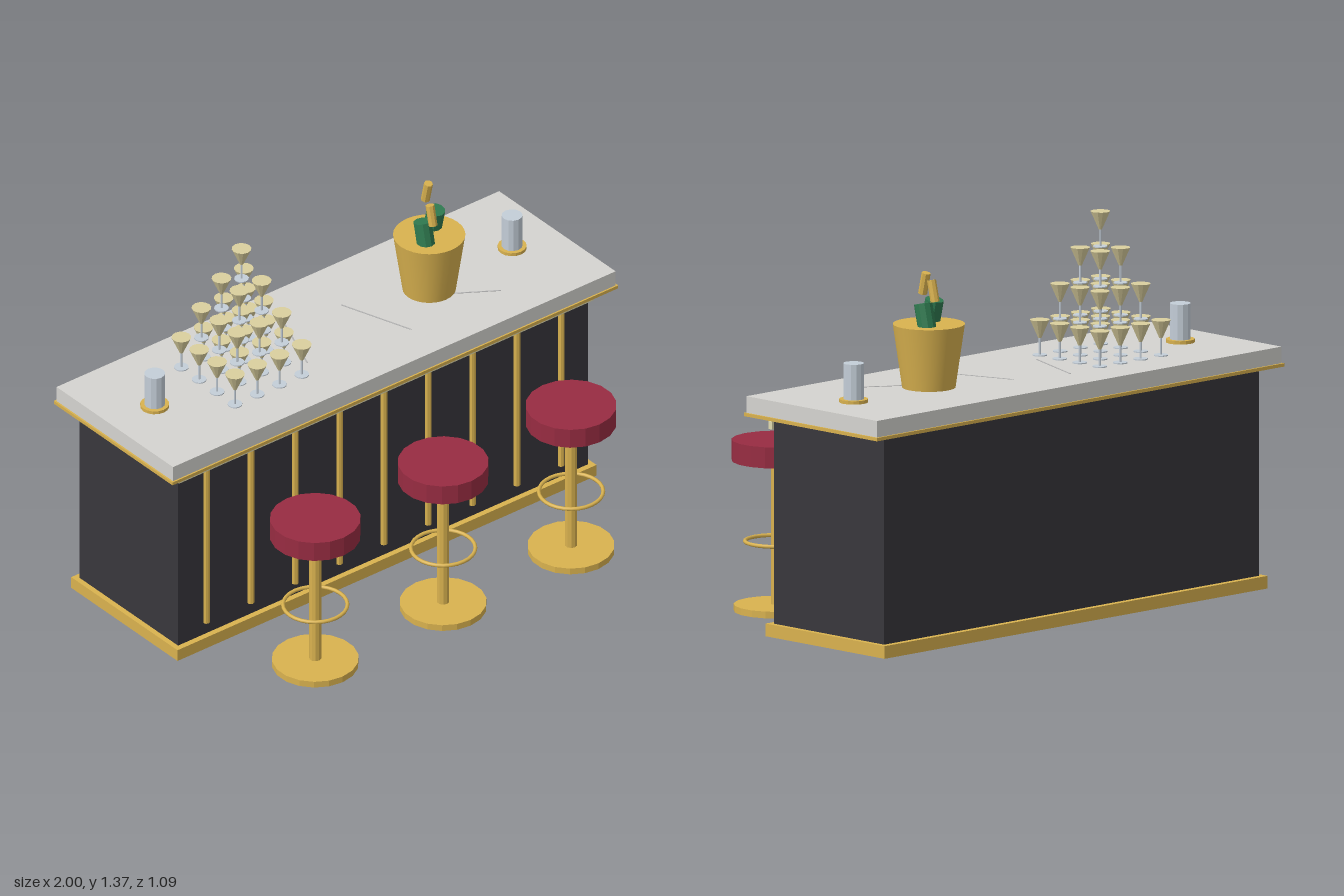
import * as THREE from 'three';

const mat = (color, flatShading = true) => new THREE.MeshStandardMaterial({ color, flatShading });
const brass = mat(0xd9b24f), brassSmooth = mat(0xd9b24f, false);
const panel = mat(0x38373c), marble = mat(0xd5d4d0), vein = mat(0xb4b4b4);
const glow = mat(0xe2dbb0), leather = mat(0x982c42), bottleGreen = mat(0x2f7a50);
const clear = mat(0xc4ced8), wine = mat(0xdacf9e);

function add(parent, name, geometry, material, x = 0, y = 0, z = 0) {
  const m = new THREE.Mesh(geometry, material);
  m.name = name;
  m.position.set(x, y, z);
  parent.add(m);
  return m;
}

// Box given by its limits on each axis
function box(parent, name, material, [x0, x1], [y0, y1], [z0, z1]) {
  return add(parent, name, new THREE.BoxGeometry(x1 - x0, y1 - y0, z1 - z0), material,
    (x0 + x1) / 2, (y0 + y1) / 2, (z0 + z1) / 2);
}

// Upright cylinder or cone standing on y0
function post(parent, name, material, rTop, rBottom, y0, y1, sides, x = 0, z = 0) {
  return add(parent, name, new THREE.CylinderGeometry(rTop, rBottom, y1 - y0, sides), material,
    x, (y0 + y1) / 2, z);
}

function group(parent, name, x = 0, y = 0, z = 0) {
  const g = new THREE.Group();
  g.name = name;
  g.position.set(x, y, z);
  parent.add(g);
  return g;
}

const TOP = 0.857; // height of the counter surface

function buildCounter(root) {
  const g = group(root, 'counter');
  box(g, 'plinth', brass, [-0.94, 0.94], [0, 0.045], [-0.522, 0.073]);
  box(g, 'body', panel, [-0.92, 0.92], [0.045, 0.787], [-0.5, 0.051]);
  box(g, 'topTrim', brass, [-1, 1], [0.786, 0.798], [-0.545, 0.12]);
  box(g, 'marbleTop', marble, [-0.993, 0.993], [0.798, TOP], [-0.538, 0.114]);
  box(g, 'lightStrip', glow, [-0.93, 0.93], [0.738, 0.766], [0.05, 0.069]);
  // Front ribs
  for (let i = -4; i <= 4; i++)
    post(g, 'frontRib', brass, 0.0125, 0.0125, 0.095, 0.742, 8, i * 0.199, 0.055);
  // Marble veins: start and end points in x, z
  for (const [x0, z0, x1, z1] of [[-0.107, -0.385, -0.212, -0.11], [0.11, -0.32, 0.203, -0.046], [0.37, -0.19, 0.603, -0.042]]) {
    const v = add(g, 'vein', new THREE.BoxGeometry(Math.hypot(x1 - x0, z1 - z0), 0.002, 0.005), vein,
      (x0 + x1) / 2, TOP + 0.0005, (z0 + z1) / 2);
    v.rotation.y = -Math.atan2(z1 - z0, x1 - x0);
  }
}

function buildStool(root, x) {
  const g = group(root, 'stool', x, 0, 0.387);
  post(g, 'stoolBase', brass, 0.153, 0.153, 0, 0.024, 18);
  post(g, 'stoolPole', brass, 0.022, 0.022, 0.024, 0.54, 10);
  const ring = add(g, 'footRing', new THREE.TorusGeometry(0.113, 0.007, 8, 28), brassSmooth, 0, 0.248, 0);
  ring.rotation.x = Math.PI / 2;
  post(g, 'seat', leather, 0.16, 0.16, 0.536, 0.611, 18);
}

function buildGlass(parent, x, y, z) {
  const g = group(parent, 'glass', x, y, z);
  post(g, 'glassFoot', clear, 0.026, 0.026, 0, 0.004, 12);
  post(g, 'glassStem', clear, 0.004, 0.004, 0.004, 0.07, 6);
  post(g, 'glassBowl', wine, 0.035, 0.006, 0.063, 0.128, 12);
}

// Stacked square layers of 4, 3, 2 and 1 glasses per side
function buildGlassTower(root) {
  const g = group(root, 'glassTower', -0.425, TOP, -0.211);
  for (let layer = 0; layer < 4; layer++) {
    const n = 4 - layer;
    for (let i = 0; i < n; i++)
      for (let j = 0; j < n; j++)
        buildGlass(g, (i - (n - 1) / 2) * 0.1, layer * 0.129, (j - (n - 1) / 2) * 0.1);
  }
}

function buildBucket(root) {
  const g = group(root, 'iceBucket', 0.417, TOP, -0.211);
  post(g, 'bucket', brassSmooth, 0.127, 0.094, 0, 0.226, 28);
  // Two bottles tilted opposite ways
  for (const s of [1, -1]) {
    const body = post(g, 'bottleBody', bottleGreen, 0.033, 0.033, 0.098, 0.308, 10, -0.041 * s, 0.037 * s);
    const neck = post(g, 'bottleNeck', brass, 0.016, 0.016, 0.317, 0.395, 8, -0.041 * s, 0.064 * s);
    body.rotation.x = neck.rotation.x = -0.23 * s;
  }
}

function buildLamp(root, x) {
  const g = group(root, 'lamp', x, TOP, -0.227);
  post(g, 'lampBase', brass, 0.051, 0.051, 0, 0.012, 16);
  post(g, 'lampGlass', clear, 0.037, 0.037, 0.012, 0.139, 12);
}

export function createModel() {
  const root = new THREE.Group();
  root.name = 'cocktailBar';
  buildCounter(root);
  for (const x of [-0.574, 0, 0.574]) buildStool(root, x);
  buildGlassTower(root);
  buildBucket(root);
  for (const x of [-0.802, 0.802]) buildLamp(root, x);
  return root;
}
